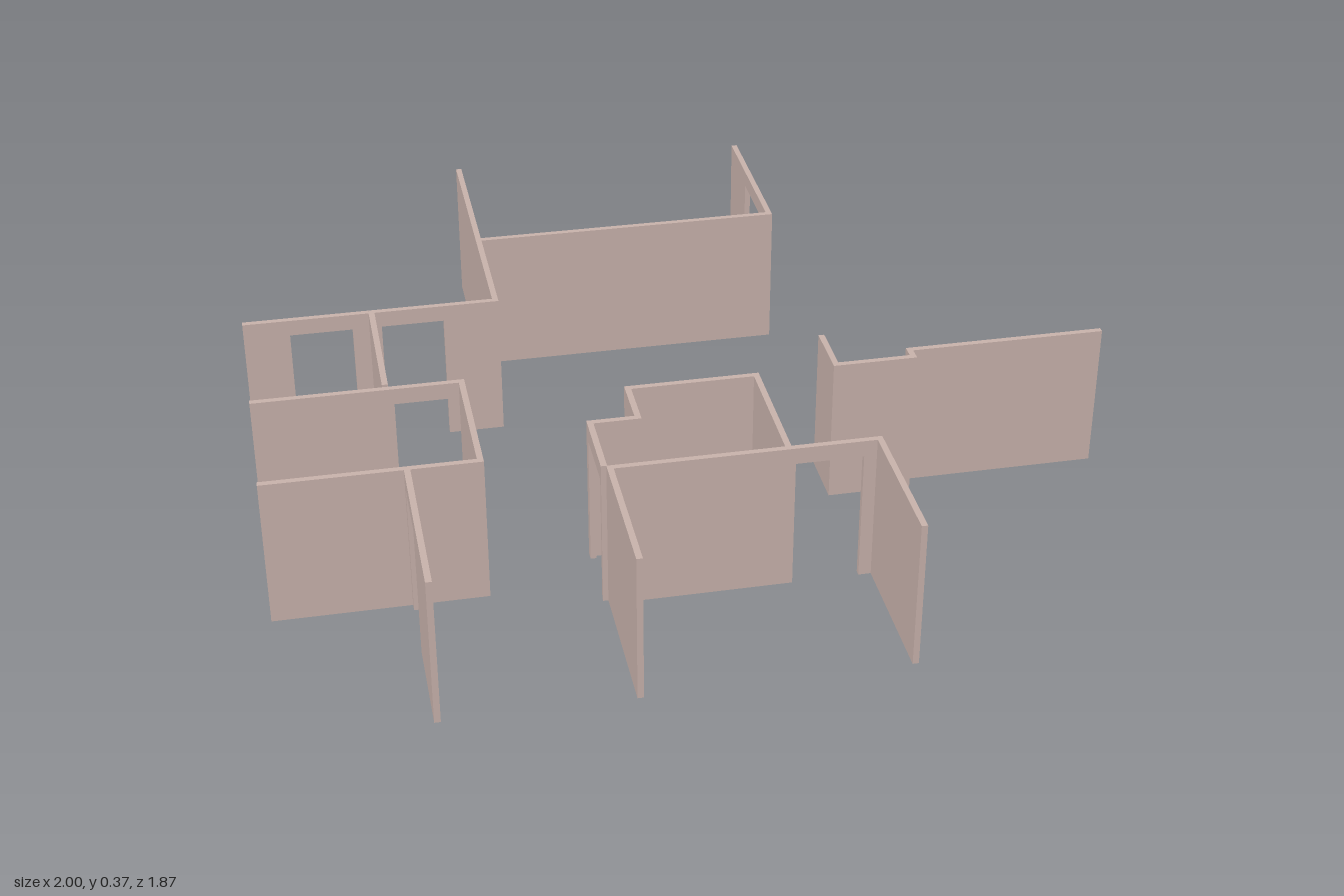
import * as THREE from 'three';

const HEIGHT = 0.36, THICK = 0.014, DOOR_TOP = 0.32;

// Upright panel from a to b; each door cuts a notch up from the floor.
function panelGeometry(a, b, doors) {
  const s = new THREE.Shape();
  s.moveTo(a, 0);
  for (const [d0, d1] of doors) {
    s.lineTo(d0, 0);
    s.lineTo(d0, DOOR_TOP);
    s.lineTo(d1, DOOR_TOP);
    s.lineTo(d1, 0);
  }
  s.lineTo(b, 0);
  s.lineTo(b, HEIGHT);
  s.lineTo(a, HEIGHT);
  s.closePath();
  const g = new THREE.ExtrudeGeometry(s, { depth: THICK, bevelEnabled: false });
  return g.translate(0, 0, -THICK / 2);
}

export function createModel() {
  const model = new THREE.Group();
  model.name = 'floorPlanWalls';
  const material = new THREE.MeshStandardMaterial({ color: 0xc8b2ab });

  // Wall running along x at a fixed z
  const alongX = (name, z, a, b, doors = []) => {
    const mesh = new THREE.Mesh(panelGeometry(a, b, doors), material);
    mesh.name = name;
    mesh.position.z = z;
    model.add(mesh);
    return mesh;
  };
  // Wall running along z at a fixed x
  const alongZ = (name, x, a, b, doors = []) => {
    const mesh = alongX(name, 0, a, b, doors);
    mesh.rotation.y = -Math.PI / 2;
    mesh.position.x = x;
    return mesh;
  };

  // Back room
  alongZ('backRoomRightWall', -0.392, -0.935, -0.193);
  alongX('backRoomWall', -0.52, -0.385, 0.372);
  alongZ('backRoomDoorWall', 0.366, -0.935, -0.513, [[-0.765, -0.61]]);

  // Right-hand rooms
  alongX('rightBackDoorWall', -0.2, -1, -0.385, [[-0.89, -0.74], [-0.67, -0.52]]);
  alongZ('rightPartition', -0.693, -0.193, 0.156).position.y = 0.006;
  alongX('rightMiddleDoorWall', 0.163, -1, -0.512, [[-0.675, -0.525]]);
  alongZ('rightInnerWall', -0.519, 0.17, 0.51);
  alongX('rightFrontWall', 0.503, -1, -0.512);
  alongZ('rightFrontDoorWall', -0.679, 0.51, 0.93, [[0.53, 0.685]]);

  // Central closet with a stepped corner
  alongX('closetBackWall', 0.267, -0.158, 0.157);
  alongZ('closetStepWall', -0.151, 0.274, 0.403);
  alongX('closetShortWall', 0.396, -0.267, -0.158);
  alongZ('closetDoorWall', -0.26, 0.403, 0.578, [[0.412, 0.567]]);
  alongZ('closetLeftWall', 0.15, 0.274, 0.578);

  // Front room
  alongX('frontRoomDoorWall', 0.585, -0.255, 0.363, [[0.165, 0.32]]);
  alongZ('frontRoomRightWall', -0.248, 0.592, 0.933);
  alongZ('frontRoomLeftWall', 0.356, 0.592, 0.933);

  // Left-hand jogged wall
  alongZ('leftEndWall', 0.342, 0.12, 0.265);
  alongX('leftShortWall', 0.258, 0.349, 0.535);
  alongZ('leftStepWall', 0.528, 0.218, 0.251);
  alongX('leftLongWall', 0.225, 0.535, 1);

  return model;
}
